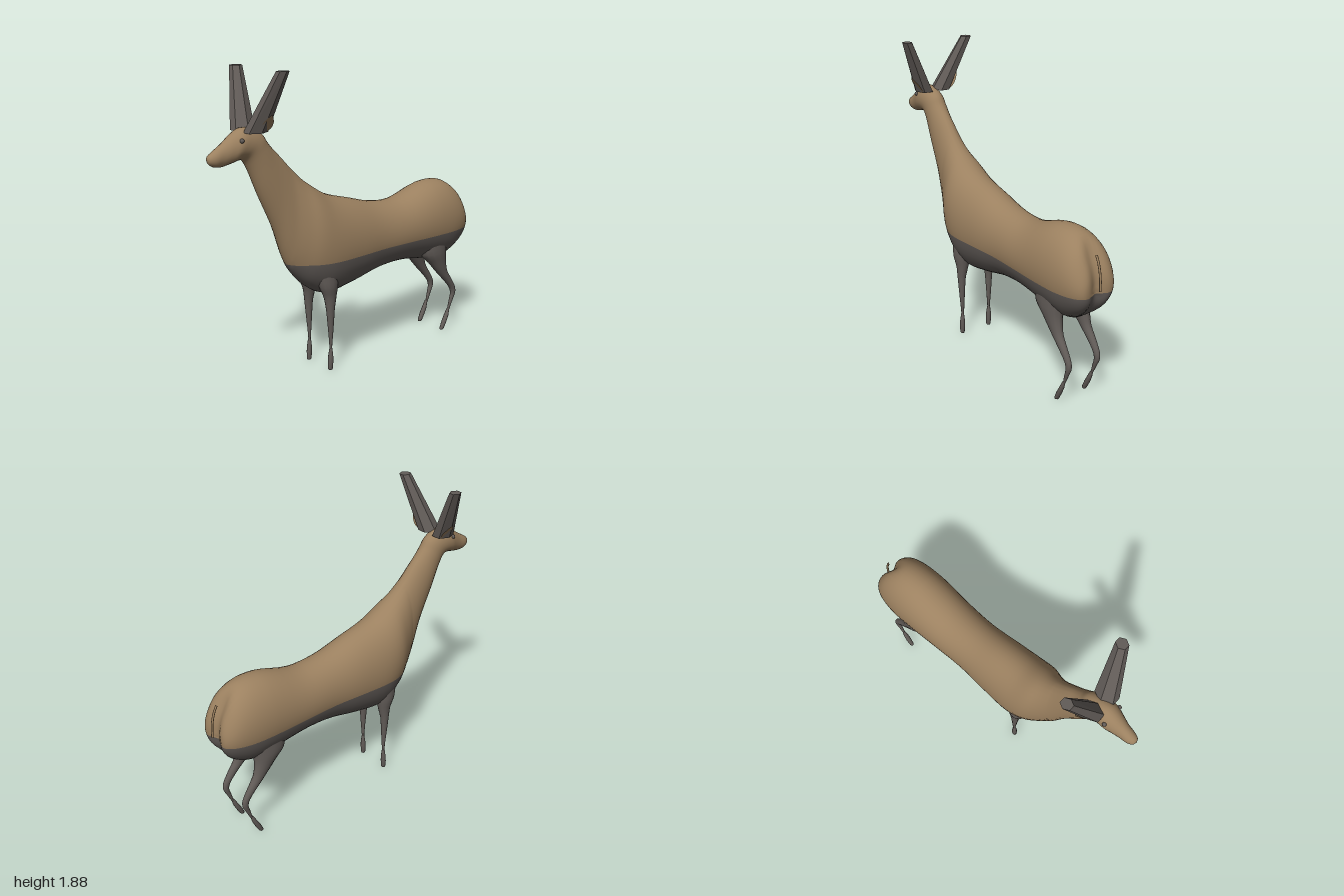
import * as THREE from 'three';
import { mergeVertices } from 'three/addons/utils/BufferGeometryUtils.js';

const SPLIT_Y = 0.71; // height where the coat changes colour

// Skin a list of equal-length closed rings; strips before `upper` use material 0, the rest material 1.
function loft(rings, upper = Infinity) {
  const n = rings[0].length, pos = [], idx = [];
  rings.forEach(r => r.forEach(p => pos.push(p.x, p.y, p.z)));
  for (let j = 0; j < n; j++) {
    const k = (j + 1) % n;
    for (let i = 0; i < rings.length - 1; i++) {
      const a = i * n + j, b = i * n + k, c = a + n, d = b + n;
      idx.push(a, c, b, b, c, d);
    }
  }
  let g = new THREE.BufferGeometry();
  g.setAttribute('position', new THREE.Float32BufferAttribute(pos, 3));
  g.setIndex(idx);
  g = mergeVertices(g, 1e-5);
  g.computeVertexNormals();
  if (upper < n) {
    const cut = upper * (rings.length - 1) * 6;
    g.addGroup(0, cut, 0);
    g.addGroup(cut, idx.length - cut, 1);
  }
  return g;
}

// Horizontal elliptical rings listed from top to bottom: [x, y, z, radiusX, radiusZ]
function column(sections, sides) {
  return loft(sections.map(([x, y, z, rx, rz]) => Array.from({ length: sides }, (_, j) => {
    const a = j / sides * Math.PI * 2 + Math.PI / 2;
    return new THREE.Vector3(x + rx * Math.sin(a), y, z + rz * Math.cos(a));
  })));
}

// Add intermediate sections along a smooth curve
function smooth(sections, steps) {
  const a = new THREE.CatmullRomCurve3(sections.map(s => new THREE.Vector3(s[0], s[1], s[2])));
  const b = new THREE.CatmullRomCurve3(sections.map(s => new THREE.Vector3(s[3], s[4], 0)));
  const n = (sections.length - 1) * steps;
  return Array.from({ length: n + 1 }, (_, i) => {
    const p = a.getPoint(i / n), q = b.getPoint(i / n);
    return [p.x, p.y, p.z, q.x, q.y];
  });
}

// Rump, trunk, neck and head in one skin: [topZ, topY, halfWidth, bottomZ, bottomY]
function bodyGeometry() {
  const sections = smooth([
    [-0.995, 0.73, 0, -0.995, 0.73],
    [-0.985, 0.82, 0.095, -0.982, 0.655],
    [-0.955, 0.9, 0.135, -0.945, 0.595],
    [-0.89, 0.99, 0.165, -0.88, 0.545],
    [-0.79, 1.04, 0.181, -0.79, 0.51],
    [-0.65, 1.042, 0.185, -0.65, 0.52],
    [-0.4, 0.973, 0.174, -0.4, 0.555],
    [-0.2, 0.985, 0.167, -0.2, 0.543],
    [0, 1.04, 0.178, 0, 0.5],
    [0.19, 1.098, 0.185, 0.22, 0.478],
    [0.3, 1.165, 0.17, 0.34, 0.545],
    [0.38, 1.225, 0.13, 0.425, 0.63],
    [0.45, 1.295, 0.1, 0.48, SPLIT_Y],
    [0.52, 1.37, 0.082, 0.56, 0.93],
    [0.57, 1.42, 0.073, 0.67, 1.165],
    [0.605, 1.46, 0.068, 0.75, 1.345],
    [0.64, 1.51, 0.068, 0.78, 1.378],
    [0.7, 1.545, 0.07, 0.815, 1.38],
    [0.775, 1.56, 0.07, 0.845, 1.372],
    [0.83, 1.537, 0.058, 0.875, 1.365],
    [0.9, 1.487, 0.043, 0.92, 1.358],
    [0.96, 1.45, 0.036, 0.96, 1.363],
    [0.99, 1.43, 0.022, 0.99, 1.382],
    [1, 1.41, 0, 1, 1.41],
  ], 4);
  const up = 24, low = 16;
  const rings = sections.map(([tz, ty, w, bz, by]) => {
    const h = (ty - by) / 2, c = (ty + by) / 2;
    const s = h < 1e-4 ? Math.PI / 2 : Math.acos(THREE.MathUtils.clamp((SPLIT_Y - c) / h, -1, 1));
    return Array.from({ length: up + low }, (_, j) => {
      const a = j <= up ? -s + 2 * s * j / up : s + (2 * Math.PI - 2 * s) * (j - up) / low;
      const x = w * Math.sin(a), k = Math.cos(a);
      let z = (tz + bz) / 2 + k * (tz - bz) / 2;
      // Cleft between the haunches
      z += 0.04 * THREE.MathUtils.smoothstep(-z, 0.8, 0.96) * Math.exp(-((x / 0.05) ** 2));
      return new THREE.Vector3(x, c + k * h, z);
    });
  });
  return loft(rings, up);
}

export function createModel() {
  const group = new THREE.Group();
  const tan = new THREE.MeshStandardMaterial({ color: 0x9c8160 });
  tan.name = 'tan coat';
  const grey = new THREE.MeshStandardMaterial({ color: 0x625c58 });
  grey.name = 'grey';
  const greyFacet = grey.clone();
  greyFacet.name = 'grey horn';
  greyFacet.flatShading = true;
  const earTan = tan.clone();
  earTan.name = 'tan ear';
  earTan.side = THREE.DoubleSide;

  const add = (name, geometry, material) => {
    const mesh = new THREE.Mesh(geometry, material);
    mesh.name = name;
    group.add(mesh);
    return mesh;
  };

  add('body', bodyGeometry(), [tan, grey]);

  for (const side of [1, -1]) {
    const label = side > 0 ? 'left' : 'right';

    // Legs, their tops buried in the belly
    add(label + 'FrontLeg', column(smooth([
      [side * 0.09, 0.64, 0.24, 0.055, 0.08],
      [side * 0.096, 0.55, 0.236, 0.052, 0.065],
      [side * 0.1, 0.48, 0.227, 0.037, 0.043],
      [side * 0.105, 0.4, 0.228, 0.026, 0.028],
      [side * 0.105, 0.28, 0.226, 0.018, 0.018],
      [side * 0.104, 0.2, 0.225, 0.013, 0.011],
      [side * 0.103, 0.13, 0.225, 0.008, 0.007],
    ], 3), 14), grey);
    add(label + 'HindLeg', column(smooth([
      [side * 0.09, 0.66, -0.68, 0.06, 0.13],
      [side * 0.095, 0.57, -0.68, 0.058, 0.11],
      [side * 0.1, 0.5, -0.713, 0.044, 0.073],
      [side * 0.103, 0.42, -0.758, 0.03, 0.046],
      [side * 0.105, 0.35, -0.815, 0.023, 0.034],
      [side * 0.105, 0.28, -0.865, 0.018, 0.024],
      [side * 0.105, 0.24, -0.872, 0.016, 0.019],
      [side * 0.104, 0.19, -0.855, 0.012, 0.014],
      [side * 0.103, 0.13, -0.834, 0.008, 0.007],
    ], 3), 14), grey);

    // Hooves
    const hoof = (name, z, lean) => add(name, column([
      [0, 0.142, 0, 0, 0],
      [0, 0.137, 0, 0.009, 0.01],
      [0, 0.09, 0.3, 0.016, 0.016],
      [0, 0.05, 0.62, 0.017, 0.018],
      [0, 0.008, 0.95, 0.014, 0.016],
      [0, 0, 1, 0.011, 0.013],
      [0, 0, 1, 0, 0],
    ].map(([, y, t, rx, rz]) => [side * 0.104, y, z + lean * t, rx, rz]), 10), grey);
    hoof(label + 'FrontHoof', 0.225, 0.004);
    hoof(label + 'HindHoof', -0.832, 0.062);

    // Six-sided tapering horns with level ends
    add(label + 'Horn', column([
      [side * 0.218, 1.875, 0.645, 0, 0],
      [side * 0.218, 1.875, 0.645, 0.034, 0.038],
      [side * 0.062, 1.535, 0.72, 0.058, 0.074],
      [side * 0.062, 1.535, 0.72, 0, 0],
    ], 6), greyFacet);

    // Thin leaf-shaped ears
    const leaf = new THREE.Shape();
    leaf.moveTo(0, 0);
    leaf.quadraticCurveTo(0.08, 0.045, 0, 0.14);
    leaf.quadraticCurveTo(-0.08, 0.045, 0, 0);
    const ear = add(label + 'Ear', new THREE.ShapeGeometry(leaf, 6).rotateY(Math.PI / 2), earTan);
    ear.position.set(side * 0.092, 1.528, 0.688);
    ear.rotation.z = -side * 0.62;

    // Eyes
    const eye = add(label + 'Eye', new THREE.SphereGeometry(0.013, 12, 8), grey);
    eye.position.set(side * 0.064, 1.498, 0.812);
  }

  // Tail
  const tailPath = new THREE.CatmullRomCurve3([
    new THREE.Vector3(0, 0.94, -0.95),
    new THREE.Vector3(0, 0.9, -0.97),
    new THREE.Vector3(0, 0.83, -0.988),
    new THREE.Vector3(0, 0.74, -0.994),
  ]);
  add('tail', new THREE.TubeGeometry(tailPath, 12, 0.007, 8), tan);

  return group;
}
